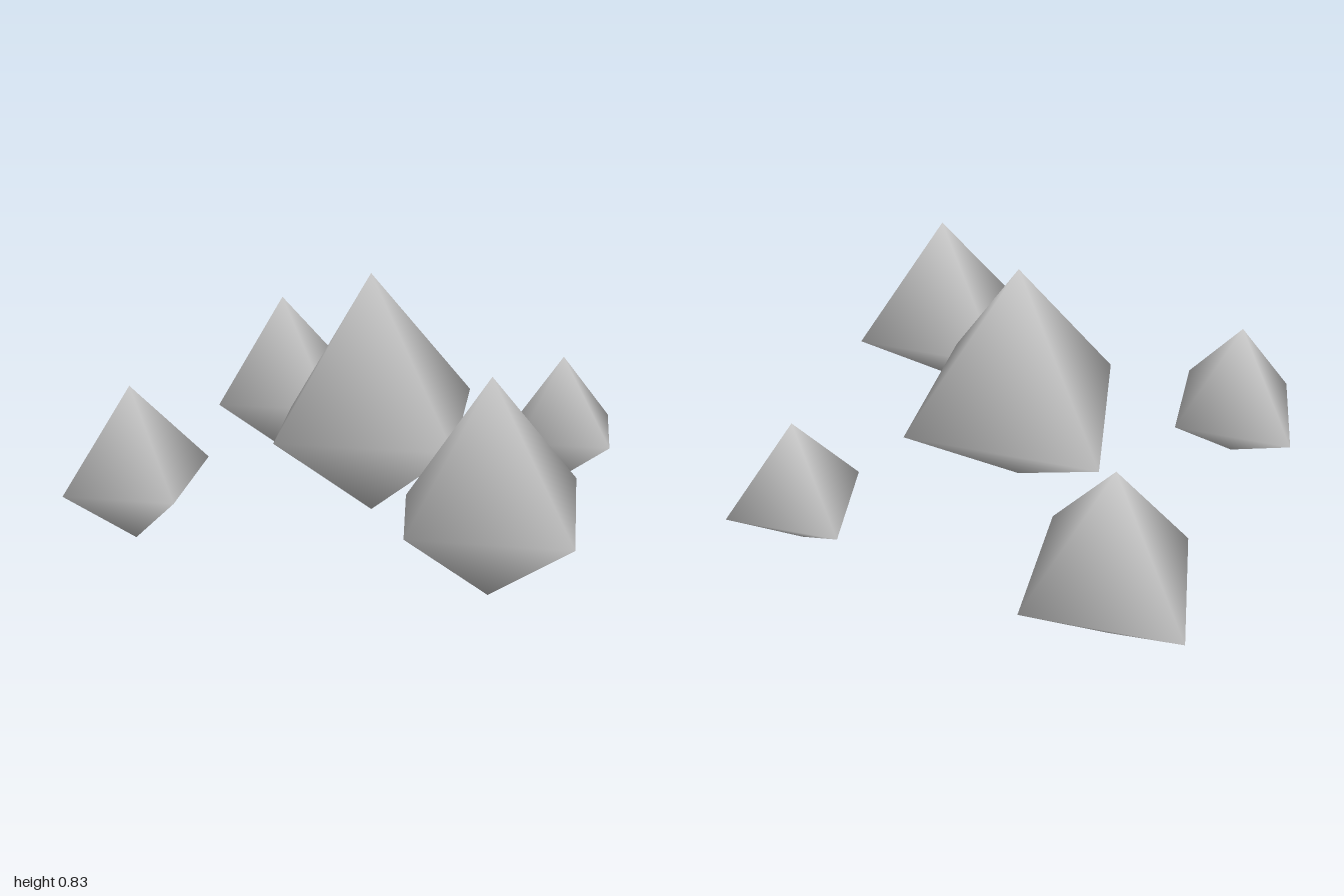
import * as THREE from 'three';

// One irregular gem of unit height: bottom tip at the origin, top tip above it
function createGemGeometry() {
  const girdle = [
    [-0.525, 0.325, -0.15],
    [0.152, 0.42, -0.552],
    [0.505, 0.382, 0.195],
    [-0.145, 0.383, 0.473],
  ];
  const points = [[0, 0, 0], ...girdle, [0, 1, 0]];
  const bottom = 0, top = 5, index = [];
  for (let i = 0; i < 4; i++) {
    const a = 1 + i, b = 1 + (i + 1) % 4;
    index.push(top, b, a, bottom, a, b);
  }
  const geometry = new THREE.BufferGeometry();
  geometry.setAttribute('position', new THREE.Float32BufferAttribute(points.flat(), 3));
  geometry.setIndex(index);
  geometry.computeVertexNormals(); // shared corners give soft shading
  return geometry;
}

export function createModel() {
  const group = new THREE.Group();
  group.name = 'stoneCluster';
  const stone = new THREE.MeshStandardMaterial({ color: 0xcccccc });
  stone.name = 'stoneGrey';
  const geometry = createGemGeometry();

  // Name, bottom tip position, height
  const stones = [
    ['centreStone', [0.017, 0.03, 0.055], 0.8],
    ['leftStone', [0.67, 0.01, 0.432], 0.65],
    ['rightStone', [-0.685, 0.003, -0.397], 0.6],
    ['frontStone', [-0.483, 0.017, 0.658], 0.5],
    ['backStone', [0.37, 0.01, -0.647], 0.45],
  ];
  for (const [name, position, height] of stones) {
    const mesh = new THREE.Mesh(geometry, stone);
    mesh.name = name;
    mesh.position.set(...position);
    mesh.scale.setScalar(height);
    group.add(mesh);
  }
  return group;
}
